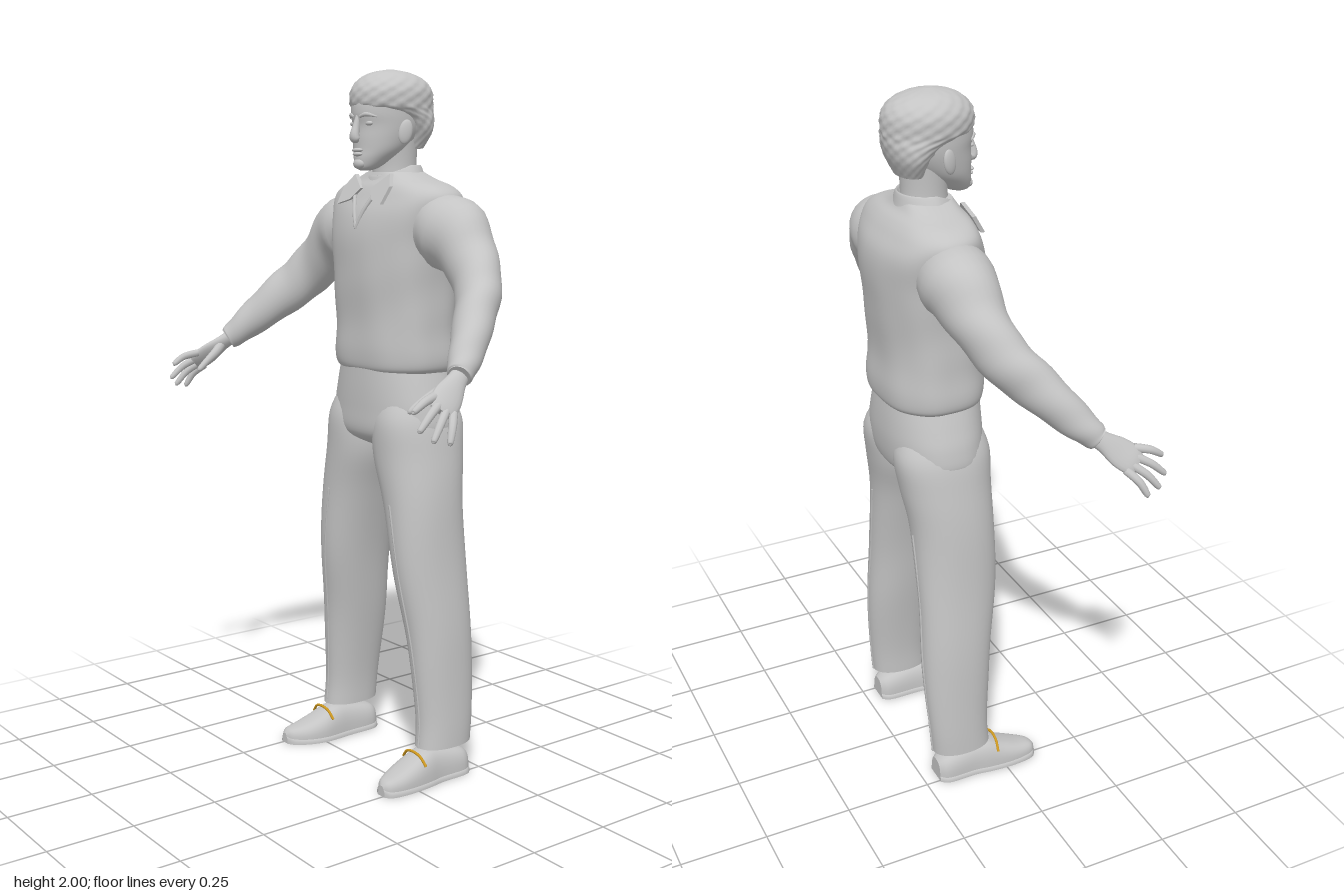
import * as THREE from 'three';

const V = (x, y, z) => new THREE.Vector3(x, y, z);
const cloth = new THREE.MeshStandardMaterial({ color: 0xc4c4c4 });
cloth.name = 'light grey';
const gold = new THREE.MeshStandardMaterial({ color: 0xd09a20 });
gold.name = 'gold';

// Catmull-Rom interpolation of number rows
function smooth(rows, steps) {
  const out = [], n = rows.length, at = i => rows[Math.min(n - 1, Math.max(0, i))];
  for (let i = 0; i < n - 1; i++) {
    for (let s = 0; s < steps; s++) {
      const t = s / steps;
      out.push(rows[i].map((b, k) => {
        const a = at(i - 1)[k], c = at(i + 1)[k], d = at(i + 2)[k];
        return b + 0.5 * t * (c - a + t * (2 * a - 5 * b + 4 * c - d + t * (3 * (b - c) + d - a)));
      }));
    }
  }
  out.push(rows[n - 1]);
  return out;
}

// Skin closed rings of points, with flat end caps
function skin(rings) {
  const n = rings[0].length, pos = [], idx = [];
  const put = p => pos.push(p.x, p.y, p.z);
  rings.forEach(r => r.forEach(put));
  for (let i = 0; i < rings.length - 1; i++) {
    for (let j = 0; j < n; j++) {
      const a = i * n + j, b = i * n + (j + 1) % n;
      idx.push(a, a + n, b, b, a + n, b + n);
    }
  }
  [rings[0], rings[rings.length - 1]].forEach((r, end) => {
    const base = pos.length / 3, mid = V(0, 0, 0);
    r.forEach(p => { put(p); mid.addScaledVector(p, 1 / n); });
    put(mid);
    for (let j = 0; j < n; j++) {
      const a = base + j, b = base + (j + 1) % n;
      idx.push(base + n, end ? b : a, end ? a : b);
    }
  });
  const g = new THREE.BufferGeometry();
  g.setAttribute('position', new THREE.Float32BufferAttribute(pos, 3));
  g.setIndex(idx);
  g.computeVertexNormals();
  return g;
}

const ring = (n, f) => Array.from({ length: n }, (_, j) => f(j / n * Math.PI * 2));
const pw = (v, e) => Math.sign(v) * Math.pow(Math.abs(v), e);

// Upright form; rows are [y, centre x, half width, front z, back z]
function body(rows, { power = 2, seg = 48, steps = 5, fold = () => 0 } = {}) {
  return skin(smooth(rows, steps).map(([y, cx, rx, zf, zb]) => ring(seg, a => {
    const k = 1 + fold(a, y), e = 2 / power;
    return V(cx + k * rx * pw(Math.cos(a), e), y, (zf + zb) / 2 + k * (zf - zb) / 2 * pw(Math.sin(a), e));
  })));
}

// Form along a path; rows are [x, y, z, radius along hint, other radius]
function limb(rows, hint, seg = 12, steps = 4, fold = () => 0) {
  const pts = smooth(rows, steps), at = i => V(...pts[Math.min(pts.length - 1, Math.max(0, i))].slice(0, 3));
  return skin(pts.map((p, i) => {
    const t = at(i + 1).sub(at(i - 1)).normalize();
    const u = hint.clone().addScaledVector(t, -hint.dot(t)).normalize(), v = u.clone().cross(t);
    return ring(seg, a => {
      const k = 1 + fold(a, i);
      return at(i).addScaledVector(u, k * p[3] * Math.cos(a)).addScaledVector(v, k * p[4] * Math.sin(a));
    });
  }));
}

const blob = (x, y, z, rx, ry, rz) => new THREE.SphereGeometry(1, 18, 12).scale(rx, ry, rz).translate(x, y, z);

// Mirrored copy with its faces turned outward again
function mirrored(geo) {
  const g = geo.clone().scale(-1, 1, 1);
  if (!g.index) g.setIndex([...Array(g.attributes.position.count).keys()]);
  const a = g.index.array;
  for (let i = 0; i < a.length; i += 3) [a[i], a[i + 1]] = [a[i + 1], a[i]];
  g.computeVertexNormals();
  return g;
}

export function createModel() {
  const model = new THREE.Group();
  model.name = 'standingMan';
  const add = (name, geo, mat = cloth) => {
    const m = new THREE.Mesh(geo, mat);
    m.name = name;
    model.add(m);
  };
  const pair = (name, geo, mat) => {
    add(name + 'Left', geo, mat);
    add(name + 'Right', mirrored(geo), mat);
  };

  // Shirt with soft folds and a gathered hem
  add('shirt', body([
    [1.165, 0, .172, 0, -.262], [1.18, 0, .188, .012, -.27], [1.22, 0, .194, .016, -.272],
    [1.30, 0, .189, .015, -.266], [1.42, 0, .194, .02, -.273], [1.52, 0, .205, .02, -.282],
    [1.60, 0, .225, .006, -.276], [1.65, 0, .232, -.015, -.252], [1.68, 0, .2, -.03, -.23],
    [1.70, 0, .14, -.045, -.207], [1.72, 0, .085, -.055, -.195],
  ], { power: 2.4, seg: 64, fold: (a, y) => .012 * Math.sin(5 * a + 14 * y) * Math.sin(3 * a - 24 * y) }));
  pair('sleeve', limb([
    [.15, 1.56, -.135, .085, .09], [.24, 1.553, -.135, .105, .098], [.325, 1.488, -.125, .08, .075],
    [.40, 1.41, -.09, .073, .062], [.455, 1.345, -.03, .065, .055], [.51, 1.272, .04, .05, .047],
    [.542, 1.225, .088, .037, .036], [.549, 1.215, .1, .033, .03],
  ], V(.4, 1, 0), 28, 5, (a, i) => .025 * Math.sin(i * 1.1 + 2 * a)));

  // Collar band, dipping at the front, and its two points
  const collar = body([[1.675, 0, .118, -.03, -.215], [1.70, 0, .1, -.035, -.205], [1.735, 0, .08, -.045, -.197],
    [1.735, 0, .074, -.05, -.19], [1.70, 0, .06, -.06, -.18]], { steps: 3 });
  const cp = collar.attributes.position;
  for (let i = 0; i < cp.count; i++) cp.setY(i, cp.getY(i) - .4 * Math.max(0, cp.getZ(i) + .12));
  collar.computeVertexNormals();
  add('collar', collar);
  const flap = new THREE.ExtrudeGeometry(new THREE.Shape([[.022, 1.675], [.05, 1.645], [.1, 1.632], [.105, 1.68], [.08, 1.715]]
    .map(p => new THREE.Vector2(...p))), { depth: .012, bevelEnabled: false });
  const fp = flap.attributes.position;
  for (let i = 0; i < fp.count; i++) fp.setZ(i, fp.getZ(i) - .008 - (fp.getY(i) - 1.635) * .6);
  flap.computeVertexNormals();
  pair('collarPoint', flap);
  // Edges of the open neck
  pair('neckOpening', limb([[.045, 1.66, -.018, .006, .006], [.022, 1.615, .002, .006, .006], [0, 1.565, .014, .005, .005]], V(0, 0, 1), 8));

  // Trousers
  add('hips', body([
    [.945, 0, .07, -.06, -.19], [.97, 0, .16, -.01, -.245], [1.0, 0, .208, .008, -.26],
    [1.06, 0, .207, .01, -.266], [1.12, 0, .19, .01, -.263], [1.18, 0, .17, .008, -.255],
  ], { power: 2.3 }));
  const legRows = [
    [.1, .226, .055, -.04, -.22], [.2, .222, .057, -.045, -.227], [.4, .203, .068, -.03, -.237],
    [.6, .178, .077, -.003, -.232], [.8, .146, .095, .005, -.236], [.93, .115, .111, .008, -.253],
    [1.03, .105, .103, .006, -.262], [1.1, .1, .07, -.02, -.23],
  ];
  pair('trouserLeg', body(legRows, { power: 2.2, seg: 36, fold: (a, y) => .01 * Math.sin(2 * a + 17 * y) }));
  const crease = side => limb(legRows.slice(0, 5).map(r => [r[1], r[0], r[side], .003, .003]), V(1, 0, 0), 6);
  pair('frontCrease', crease(3));
  pair('backCrease', crease(4));

  // Shoes; rows are [z, centre x, half width, height]
  const shoeRows = [
    [.105, .243, .01, .03], [.09, .24, .03, .043], [.05, .232, .046, .054], [0, .226, .053, .073],
    [-.05, .224, .051, .094], [-.1, .222, .046, .092], [-.18, .222, .045, .076], [-.208, .222, .03, .06],
  ];
  const shoe = (grow, low, top) => skin(smooth(shoeRows, 4).map(([z, cx, w, h]) => ring(28, a => {
    const s = Math.sin(a);
    return V(cx + (w + grow) * pw(Math.cos(a), .7), s > 0 ? low + ((top || h) - low) * Math.pow(s, .8) : low, z);
  })));
  pair('shoe', shoe(0, .012));
  pair('sole', shoe(.005, 0, .024));
  pair('shoeChain', limb([[.174, .064, -.028, .004, .004], [.195, .087, -.024, .004, .004], [.225, .094, -.022, .004, .004],
    [.255, .087, -.024, .004, .004], [.277, .064, -.028, .004, .004]], V(0, 0, 1), 8), gold);

  // Hands: palm, four spread fingers and a thumb
  const across = V(-.44, .68, .6);
  pair('palm', limb([
    [.543, 1.224, .085, .024, .02], [.556, 1.203, .115, .028, .017], [.571, 1.175, .15, .04, .015],
    [.585, 1.152, .18, .04, .013], [.592, 1.14, .194, .03, .009],
  ], across, 18));
  [[.032, .585, 1.145, .275], [.011, .607, 1.1, .273], [-.011, .627, 1.075, .245], [-.031, .64, 1.067, .203]].forEach(([o, x, y, z], i) => {
    const b = V(.583, 1.154, .176).addScaledVector(across, o), e = V(x, y, z);
    const m = b.clone().lerp(e, .5).add(V(.005, .006, .002)), q = b.clone().lerp(e, .93);
    pair('finger' + (i + 1), limb([[...b, .012, .011], [...m, .011, .01], [...q, .008, .008], [...e, .002, .002]], across, 10));
  });
  pair('thumb', limb([[.556, 1.198, .12, .016, .014], [.532, 1.178, .155, .015, .013], [.518, 1.155, .195, .011, .01],
    [.512, 1.135, .223, .008, .008], [.51, 1.13, .23, .002, .002]], across, 10));

  // Neck and head
  add('neck', body([[1.6, 0, .08, -.04, -.2], [1.68, 0, .064, -.055, -.19], [1.74, 0, .06, -.06, -.185], [1.82, 0, .065, -.05, -.19]]));
  add('head', body([
    [1.724, 0, .014, -.005, -.035], [1.732, 0, .03, .006, -.06], [1.755, 0, .05, .009, -.1], [1.78, 0, .067, .007, -.14],
    [1.81, 0, .078, .007, -.175], [1.845, 0, .086, .006, -.2], [1.88, 0, .089, .012, -.212],
    [1.92, 0, .088, .005, -.21], [1.96, 0, .07, -.03, -.185], [1.985, 0, .02, -.08, -.13],
  ]));
  add('nose', limb([[0, 1.872, .005, .007, .007], [0, 1.845, .012, .009, .01], [0, 1.82, .018, .014, .013],
    [0, 1.808, .015, .015, .012], [0, 1.802, .008, .006, .005]], V(1, 0, 0), 14));
  add('upperLip', blob(0, 1.779, .008, .023, .006, .009));
  add('lowerLip', blob(0, 1.768, .007, .02, .006, .009));
  add('chin', blob(0, 1.742, .001, .022, .015, .014));
  pair('eye', blob(.034, 1.851, -.006, .015, .007, .008));
  const brow = limb([[.013, 1.869, .009, .004, .004], [.035, 1.875, .004, .006, .005], [.06, 1.868, -.014, .002, .002]], V(0, 1, 0), 8);
  pair('brow', brow);
  pair('ear', blob(0, 0, 0, .009, .034, .02).rotateX(-.2).rotateY(-.35).translate(.09, 1.828, -.09));

  // Curly hair, cut high at the forehead and low at the nape
  add('hair', body([
    [1.785, 0, .06, -.13, -.2], [1.83, 0, .088, -.115, -.222], [1.865, 0, .097, -.075, -.232],
    [1.885, 0, .1, -.02, -.234], [1.90, 0, .103, .01, -.235], [1.94, 0, .102, .011, -.232],
    [1.97, 0, .084, -.01, -.21], [1.99, 0, .053, -.045, -.168], [2.0, 0, .01, -.095, -.118],
  ], { seg: 72, steps: 6, fold: (a, y) => .02 * Math.sin(14 * a) * Math.sin(y * 220) }));

  return model;
}
